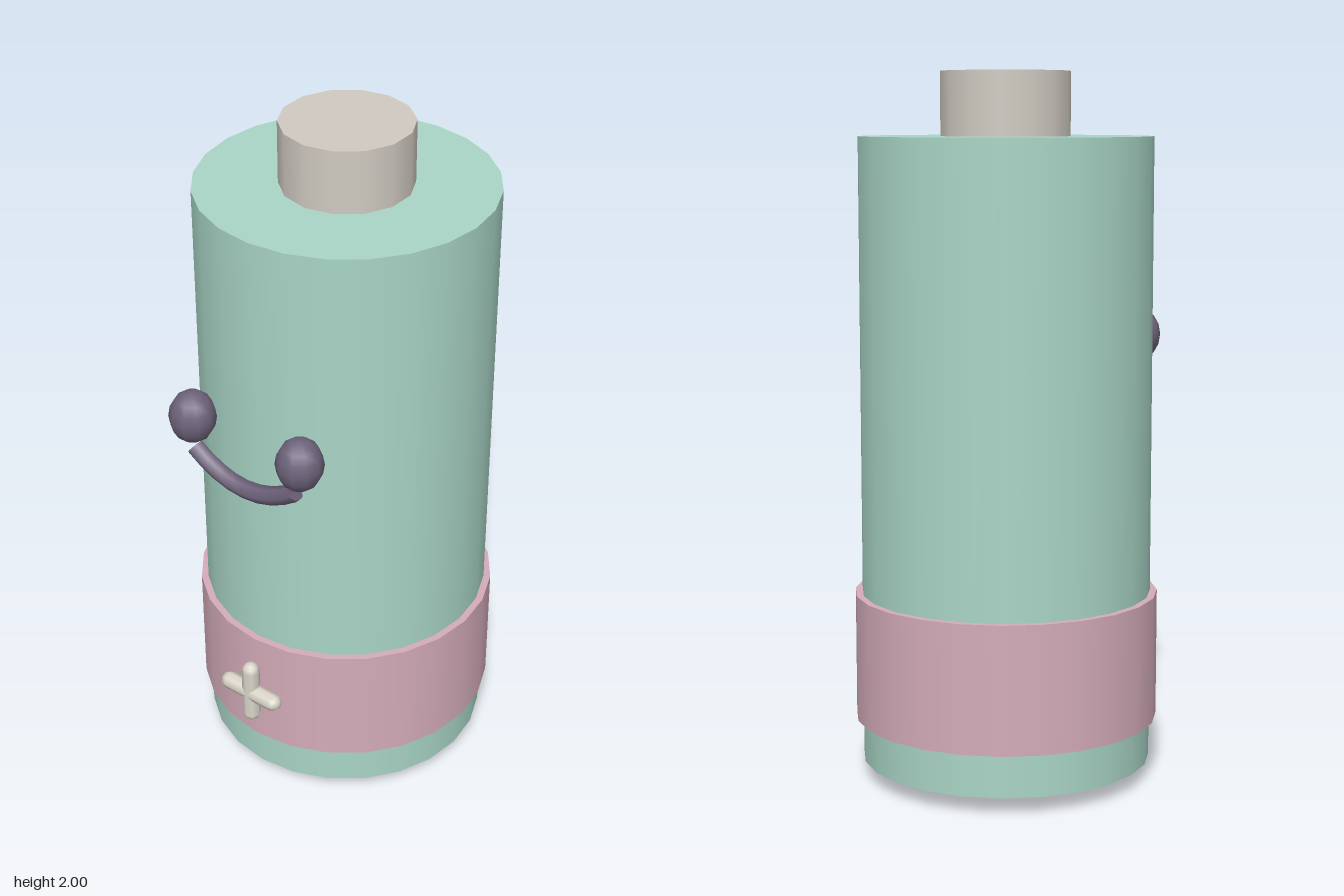
import * as THREE from 'three';

const material = (name, color) => {
  const m = new THREE.MeshStandardMaterial({ color });
  m.name = name;
  return m;
};

export function createModel() {
  const group = new THREE.Group();
  group.name = 'battery';
  const mint = material('mint', 0xa9d5c6);
  const pink = material('pink', 0xd4acb9);
  const metal = material('warm grey metal', 0xd0cac1);
  const cream = material('cream', 0xdad6ca);
  const plum = material('dark plum', 0x6e637b);
  plum.side = THREE.DoubleSide;

  const axisZ = -0.04; // the can sits slightly behind the origin, the face in front

  const add = (name, geometry, mat, x = 0, y = 0, z = 0) => {
    const mesh = new THREE.Mesh(geometry, mat);
    mesh.name = name;
    mesh.position.set(x, y, z);
    group.add(mesh);
    return mesh;
  };
  const cylinder = (name, r, y0, y1, sides, mat) =>
    add(name, new THREE.CylinderGeometry(r, r, y1 - y0, sides), mat, 0, (y0 + y1) / 2, axisZ);

  // Can, band and top terminal
  cylinder('body', 0.412, 0.052, 1.822, 24, mint);
  cylinder('band', 0.432, 0.175, 0.537, 24, pink);
  cylinder('topTerminal', 0.182, 1.82, 2, 14, metal);

  // Shallow dome on the underside
  const dome = [[0, 0.004], [0.12, 0.009], [0.25, 0.027], [0.355, 0.054]]
    .map(([r, y]) => new THREE.Vector2(r, y));
  add('bottomTerminal', new THREE.LatheGeometry(dome, 20), metal, 0, 0, axisZ);

  // Eyes
  for (const side of [1, -1]) {
    const eye = add(side > 0 ? 'leftEye' : 'rightEye',
      new THREE.SphereGeometry(0.066, 10, 8), plum, side * 0.184, 1.24, 0.404);
    eye.scale.y = 1.18;
  }

  // Smile
  const arc = new THREE.QuadraticBezierCurve3(
    new THREE.Vector3(-0.174, 1.148, 0), new THREE.Vector3(0, 1.014, 0), new THREE.Vector3(0.174, 1.148, 0));
  add('smile', new THREE.TubeGeometry(arc, 8, 0.026, 6), plum, 0, 0, 0.411);

  // Plus sign from two crossed capsules
  for (const [name, angle] of [['plusUpright', 0], ['plusCrossbar', Math.PI / 2]]) {
    const bar = add(name, new THREE.CapsuleGeometry(0.026, 0.158, 3, 8), cream, 0, 0.355, 0.413);
    bar.rotation.z = angle;
  }
  return group;
}
